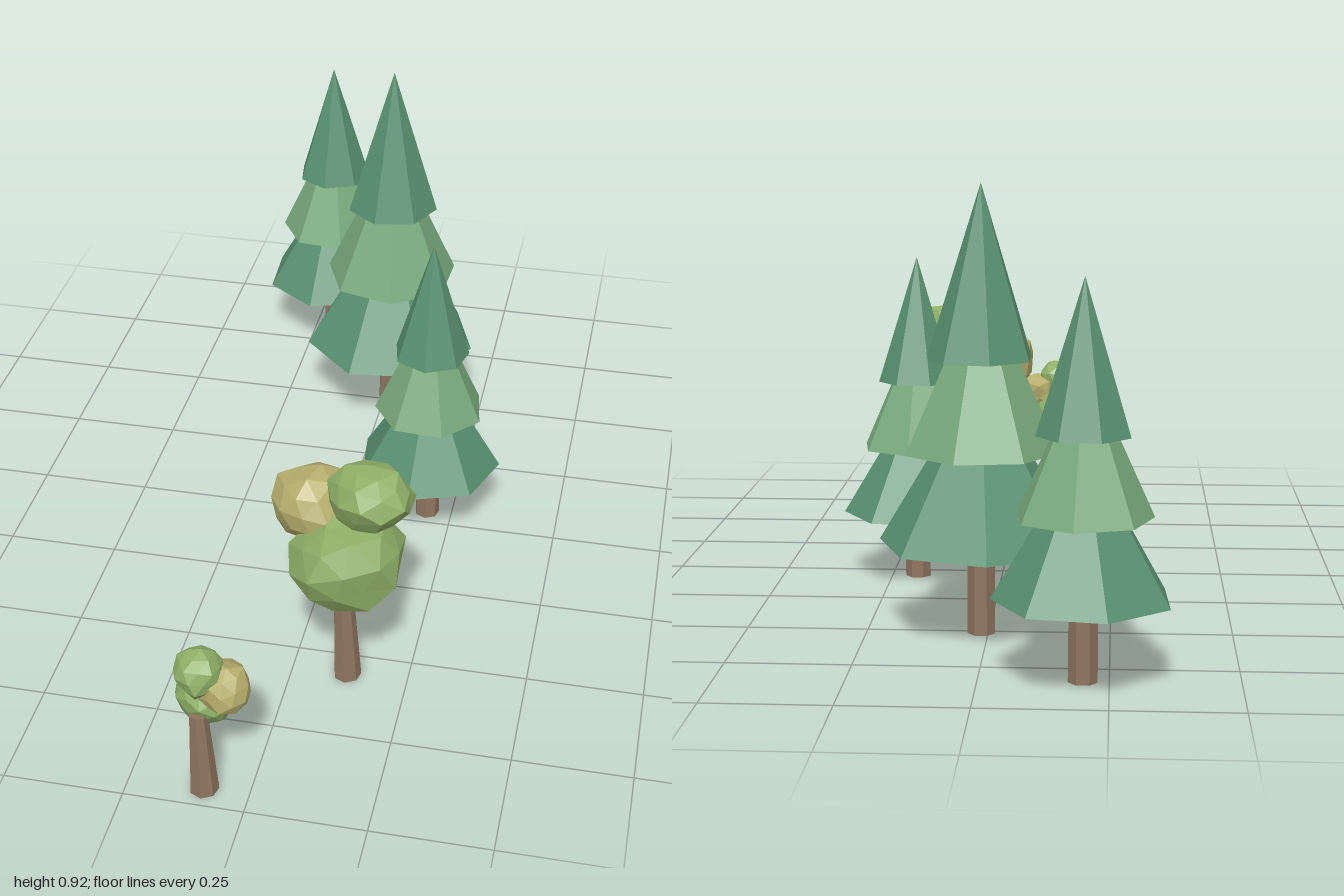
import * as THREE from 'three';

const mat = (color) => new THREE.MeshStandardMaterial({ color, flatShading: true });
const darkGreen = mat(0x5a9272);
const midGreen = mat(0x79ab7d);
const bark = mat(0x8f745f);
const leafGreen = mat(0x8fae66);
const leafYellow = mat(0xb3ac6c);

function addMesh(parent, name, geometry, material, x, y, z) {
  const mesh = new THREE.Mesh(geometry, material);
  mesh.name = name;
  mesh.position.set(x, y, z);
  parent.add(mesh);
  return mesh;
}

// Conifer: a straight trunk and three overlapping seven-sided cones, each turned a little
function conifer({ x, z, base, radius, step, coneHeight, turn }) {
  const tree = new THREE.Group();
  tree.name = 'conifer';
  tree.position.set(x, 0, z);
  const trunkHeight = base + 0.03;
  addMesh(tree, 'coniferTrunk', new THREE.CylinderGeometry(0.028, 0.029, trunkHeight, 7), bark, 0, trunkHeight / 2, 0);
  [1, 0.76, 0.52].forEach((k, i) => {
    const cone = addMesh(tree, 'coniferTier' + (i + 1), new THREE.ConeGeometry(radius * k, coneHeight, 7),
      i === 1 ? midGreen : darkGreen, 0, base + step * i + coneHeight / 2, 0);
    cone.rotation.y = THREE.MathUtils.degToRad(turn) + i * 0.5;
  });
  return tree;
}

// Repeatable value in 0..1 from a position, so shared corners move together
function hash(x, y, z, seed) {
  const s = Math.sin(Math.round(x * 100) * 12.99 + Math.round(y * 100) * 78.23 + Math.round(z * 100) * 37.72 + seed * 4.13) * 43758.5;
  return s - Math.floor(s);
}

// Lumpy low-poly ball fitted to the given half sizes
function foliageGeometry(rx, ry, rz, seed) {
  const geo = new THREE.IcosahedronGeometry(1, 1);
  geo.rotateY(seed * 0.9);
  geo.rotateX(seed * 0.5);
  const p = geo.attributes.position;
  const v = new THREE.Vector3();
  for (let i = 0; i < p.count; i++) {
    v.fromBufferAttribute(p, i);
    v.multiplyScalar(0.86 + 0.2 * hash(v.x, v.y, v.z, seed));
    p.setXYZ(i, v.x, v.y, v.z);
  }
  geo.center();
  geo.computeBoundingBox();
  const b = geo.boundingBox.max;
  geo.scale(rx / b.x, ry / b.y, rz / b.z);
  geo.computeVertexNormals();
  return geo;
}

// Broadleaf tree: a leaning tapered trunk and three balls of foliage
function broadleaf({ x, z, height, lean, balls }) {
  const tree = new THREE.Group();
  tree.name = 'broadleafTree';
  const geo = new THREE.CylinderGeometry(0.019, 0.03, height, 7);
  geo.translate(0, height / 2, 0);
  const trunk = addMesh(tree, 'broadleafTrunk', geo, bark, x, 0.001, z);
  trunk.rotation.z = lean;
  balls.forEach(([bx, by, bz, rx, ry, rz, material], i) => {
    addMesh(tree, 'foliage' + (i + 1), foliageGeometry(rx, ry, rz, i + 1 + height * 10), material, bx, by, bz);
  });
  return tree;
}

export function createModel() {
  const group = new THREE.Group();
  group.name = 'treeGroup';

  group.add(conifer({ x: -0.2, z: -0.83, base: 0.16, radius: 0.176, step: 0.156, coneHeight: 0.297, turn: -10 }));
  group.add(conifer({ x: 0.014, z: -0.51, base: 0.19, radius: 0.212, step: 0.189, coneHeight: 0.354, turn: 32.5 }));
  group.add(conifer({ x: 0.191, z: -0.045, base: 0.15, radius: 0.167, step: 0.15, coneHeight: 0.28, turn: -7 }));

  group.add(broadleaf({
    x: 0.12, z: 0.562, height: 0.29, lean: 0.04,
    balls: [
      [0.118, 0.337, 0.575, 0.117, 0.106, 0.115, leafGreen],
      [0.038, 0.42, 0.513, 0.083, 0.085, 0.087, leafYellow],
      [0.167, 0.48, 0.57, 0.09, 0.074, 0.08, leafGreen],
    ],
  }));
  group.add(broadleaf({
    x: -0.093, z: 0.953, height: 0.2, lean: 0.025,
    balls: [
      [-0.092, 0.213, 0.905, 0.065, 0.063, 0.063, leafGreen],
      [-0.048, 0.267, 0.938, 0.054, 0.054, 0.054, leafYellow],
      [-0.094, 0.307, 0.948, 0.049, 0.05, 0.05, leafGreen],
    ],
  }));
  return group;
}
